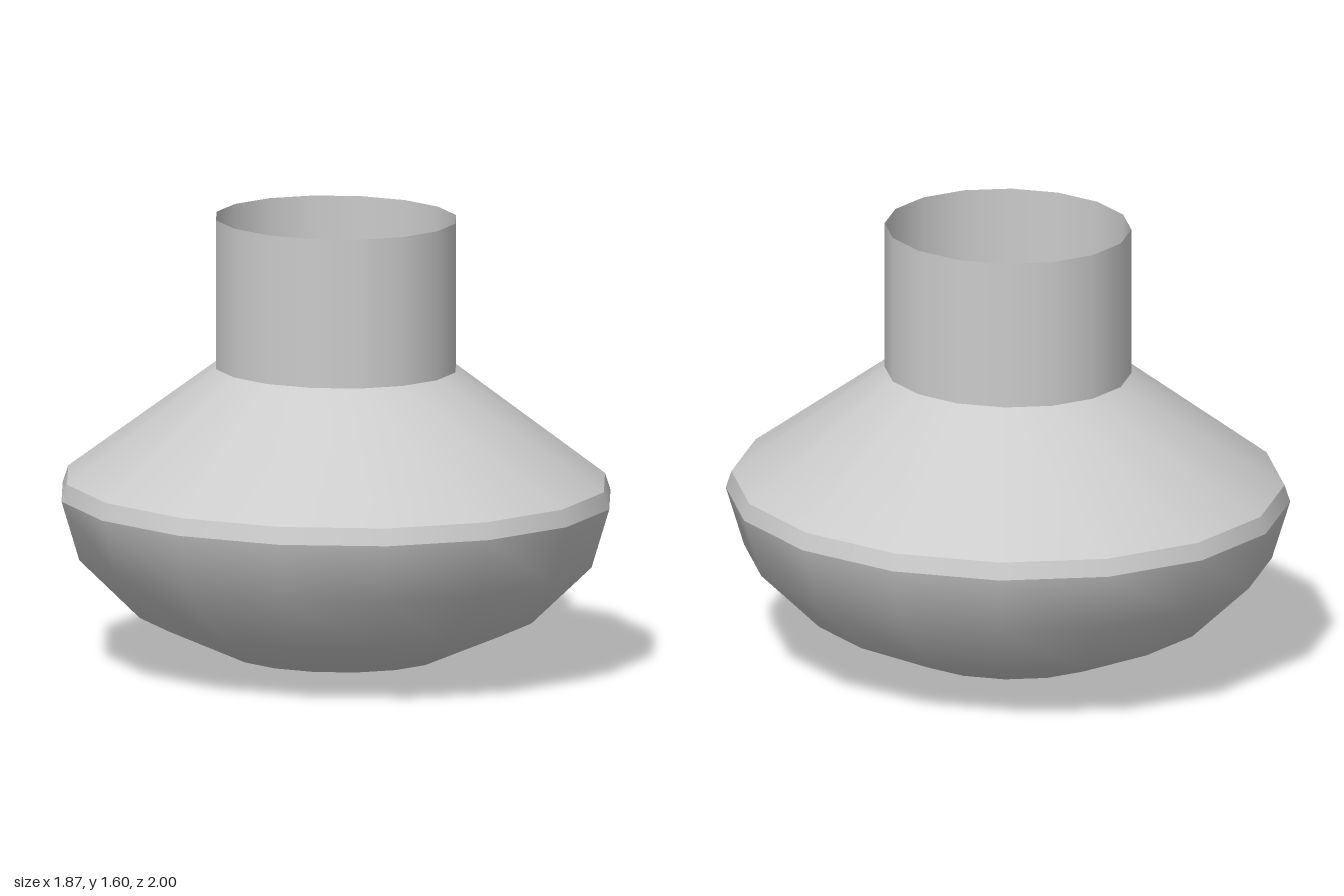
import * as THREE from 'three';

const SIDES = 16;
const X_SCALE = 0.933; // the vessel is slightly oval

export function createModel() {
  const group = new THREE.Group();
  group.name = 'vessel';
  const material = new THREE.MeshStandardMaterial({ color: 0xcccccc, side: THREE.DoubleSide });

  // One smooth turned section; separate sections keep the edges between them sharp
  const addSection = (name, profile) => {
    const points = profile.map(([r, y]) => new THREE.Vector2(r, y));
    const mesh = new THREE.Mesh(new THREE.LatheGeometry(points, SIDES), material);
    mesh.name = name;
    mesh.scale.x = X_SCALE;
    group.add(mesh);
  };

  // Rounded body coming to a shallow point underneath
  addSection('bowl', [[0, 0], [0.387, 0.05], [0.715, 0.19], [0.935, 0.4], [1, 0.61]]);
  // Narrow bevel around the widest part
  addSection('rim', [[1, 0.61], [0.98, 0.67]]);
  // Sloping shoulder up to the neck
  addSection('shoulder', [[0.98, 0.67], [0.437, 1.07]]);
  // Open straight neck
  addSection('neck', [[0.437, 1.07], [0.437, 1.6]]);

  return group;
}
